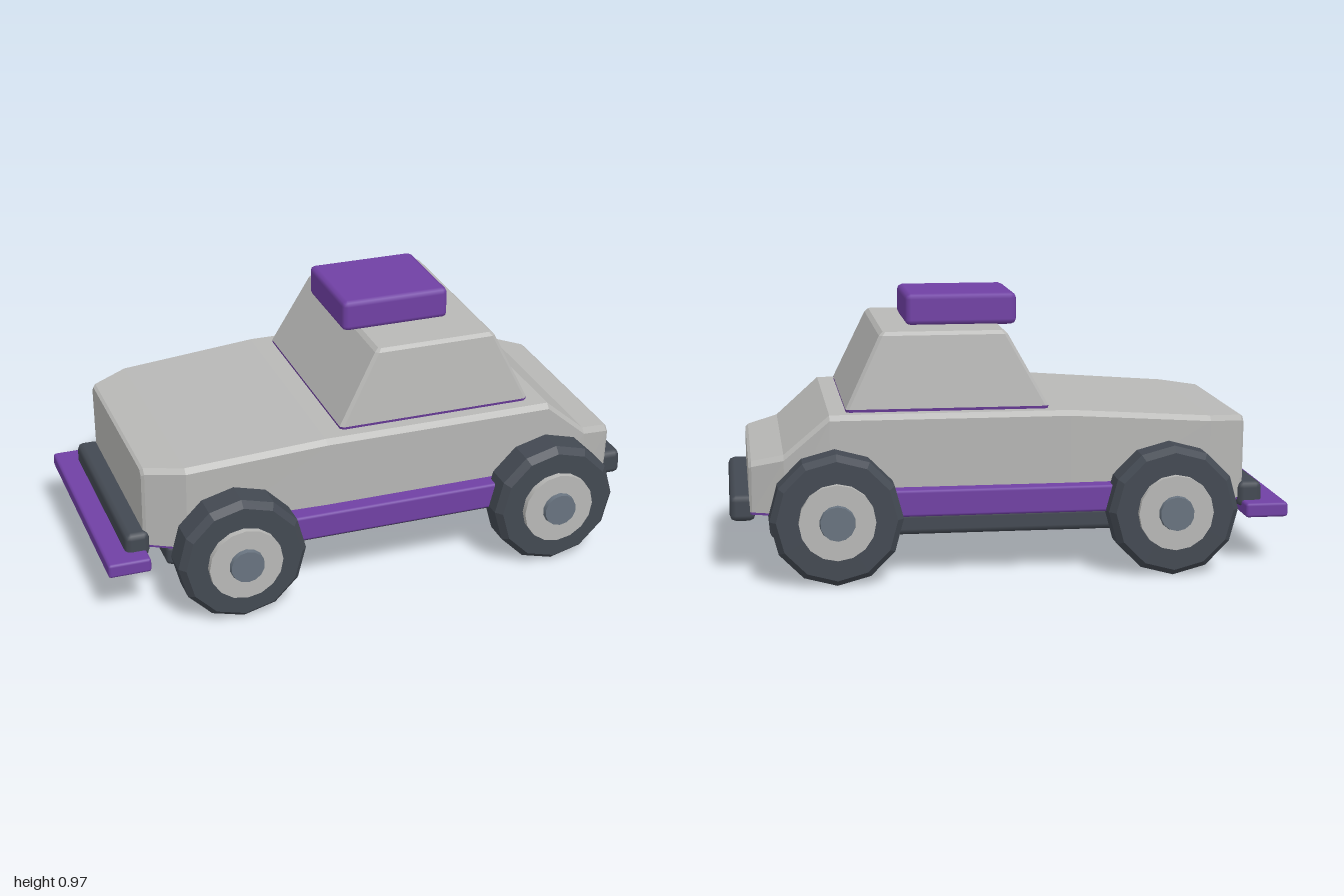
import * as THREE from 'three';
import { RoundedBoxGeometry } from 'three/addons/geometries/RoundedBoxGeometry.js';

const mat = (name, color) => {
  const m = new THREE.MeshStandardMaterial({ color });
  m.name = name;
  return m;
};

// Flat-faced skin over closed rings of equal point count, capped at both ends
function loft(rings) {
  const pos = [];
  const tri = (a, b, c) => pos.push(...a, ...b, ...c);
  const n = rings[0].length;
  for (let i = 0; i < rings.length - 1; i++) {
    for (let j = 0; j < n; j++) {
      const k = (j + 1) % n;
      const [a, b, c, d] = [rings[i][j], rings[i + 1][j], rings[i + 1][k], rings[i][k]];
      tri(a, b, c);
      tri(a, c, d);
    }
  }
  const first = rings[0], last = rings[rings.length - 1];
  for (let j = 1; j < n - 1; j++) {
    tri(first[0], first[j], first[j + 1]);
    tri(last[0], last[j + 1], last[j]);
  }
  const g = new THREE.BufferGeometry();
  g.setAttribute('position', new THREE.Float32BufferAttribute(pos, 3));
  g.computeVertexNormals();
  return g;
}

export function createModel() {
  const car = new THREE.Group();
  car.name = 'car';
  const grey = mat('body grey', 0xb8b8b6);
  const purple = mat('trim purple', 0x7040a4);
  const dark = mat('rubber charcoal', 0x434952);
  const slate = mat('hub slate', 0x68737f);

  const add = (name, geometry, material, parent = car) => {
    const m = new THREE.Mesh(geometry, material);
    m.name = name;
    parent.add(m);
    return m;
  };
  // Bevelled box given by its extents
  const box = (name, material, [x0, x1], [y0, y1], [z0, z1], bevel) => {
    const g = new RoundedBoxGeometry(x1 - x0, y1 - y0, z1 - z0, 1, bevel);
    g.translate((x0 + x1) / 2, (y0 + y1) / 2, (z0 + z1) / 2);
    return add(name, g, material);
  };

  // Body cross-sections along the length: x, top height, half width
  const sections = [
    [-0.85, 0.525, 0.36], [-0.84, 0.533, 0.37], [-0.71, 0.545, 0.44], [-0.2, 0.58, 0.46],
    [0.65, 0.58, 0.46], [0.81, 0.44, 0.437], [0.922, 0.413, 0.395], [0.932, 0.405, 0.385],
  ];
  const b = 0.018;
  add('body', loft(sections.map(([x, t, w]) => [
    [x, 0.23, w - 0.012], [x, t - b, w], [x, t, w - b],
    [x, t, b - w], [x, t - b, -w], [x, 0.23, 0.012 - w],
  ])), grey);
  add('underbody', loft(sections.map(([x, , w]) => [
    [x, 0.222, w - 0.013], [x, 0.23, w - 0.012], [x, 0.23, 0.012 - w], [x, 0.222, 0.013 - w],
  ])), purple);

  // Cabin rings with clipped corners
  const ring = (y, x0, x1, z, c) => [
    [x1, y, c - z], [x1, y, z - c], [x1 - c, y, z], [x0 + c, y, z],
    [x0, y, z - c], [x0, y, c - z], [x0 + c, y, -z], [x1 - c, y, -z],
  ];
  add('cabin', loft([
    ring(0.59, -0.13, 0.59, 0.4, 0.012),
    ring(0.845, 0.012, 0.468, 0.371, 0.012),
    ring(0.858, 0.026, 0.454, 0.36, 0.008),
  ]), grey);
  add('cabinTrim', loft([
    ring(0.575, -0.128, 0.588, 0.396, 0.012),
    ring(0.59, -0.13, 0.59, 0.4, 0.012),
  ]), purple);

  box('roofBox', purple, [-0.045, 0.358], [0.855, 0.97], [-0.19, 0.19], 0.02);
  box('frontSplitter', purple, [-1, -0.845], [0.17, 0.222], [-0.445, 0.445], 0.01);
  box('frontBumper', dark, [-0.92, -0.83], [0.195, 0.288], [-0.38, 0.38], 0.022);
  box('rearBumper', dark, [0.91, 1], [0.195, 0.288], [-0.378, 0.378], 0.022);
  box('floorPan', dark, [-0.77, 0.86], [0.125, 0.21], [-0.363, 0.363], 0.022);

  // Tyre profile (radius, width) spun around the axle
  const tyre = new THREE.LatheGeometry(
    [[0, 0], [0.21, 0], [0.232, 0.025], [0.232, 0.12], [0.21, 0.145], [0, 0.145]]
      .map(([r, h]) => new THREE.Vector2(r, h)), 12).toNonIndexed();
  tyre.computeVertexNormals();
  const rim = new THREE.CylinderGeometry(0.133, 0.133, 0.027, 16).translate(0, 0.1545, 0);
  const cap = new THREE.CylinderGeometry(0.06, 0.065, 0.03, 14).translate(0, 0.17, 0);

  for (const side of [1, -1]) {
    const [zIn, zOut] = side > 0 ? [0.42, 0.512] : [-0.512, -0.42];
    box('sideSkirt', purple, [-0.4, 0.49], [0.225, 0.32], [zIn, zOut], 0.01);
    for (const x of [-0.55, 0.635]) {
      const wheel = new THREE.Group();
      wheel.name = 'wheel';
      add('tyre', tyre, dark, wheel);
      add('rim', rim, grey, wheel);
      add('hubCap', cap, slate, wheel);
      wheel.rotation.x = side * Math.PI / 2;
      wheel.position.set(x, 0.234, side * 0.445);
      car.add(wheel);
    }
  }
  return car;
}
